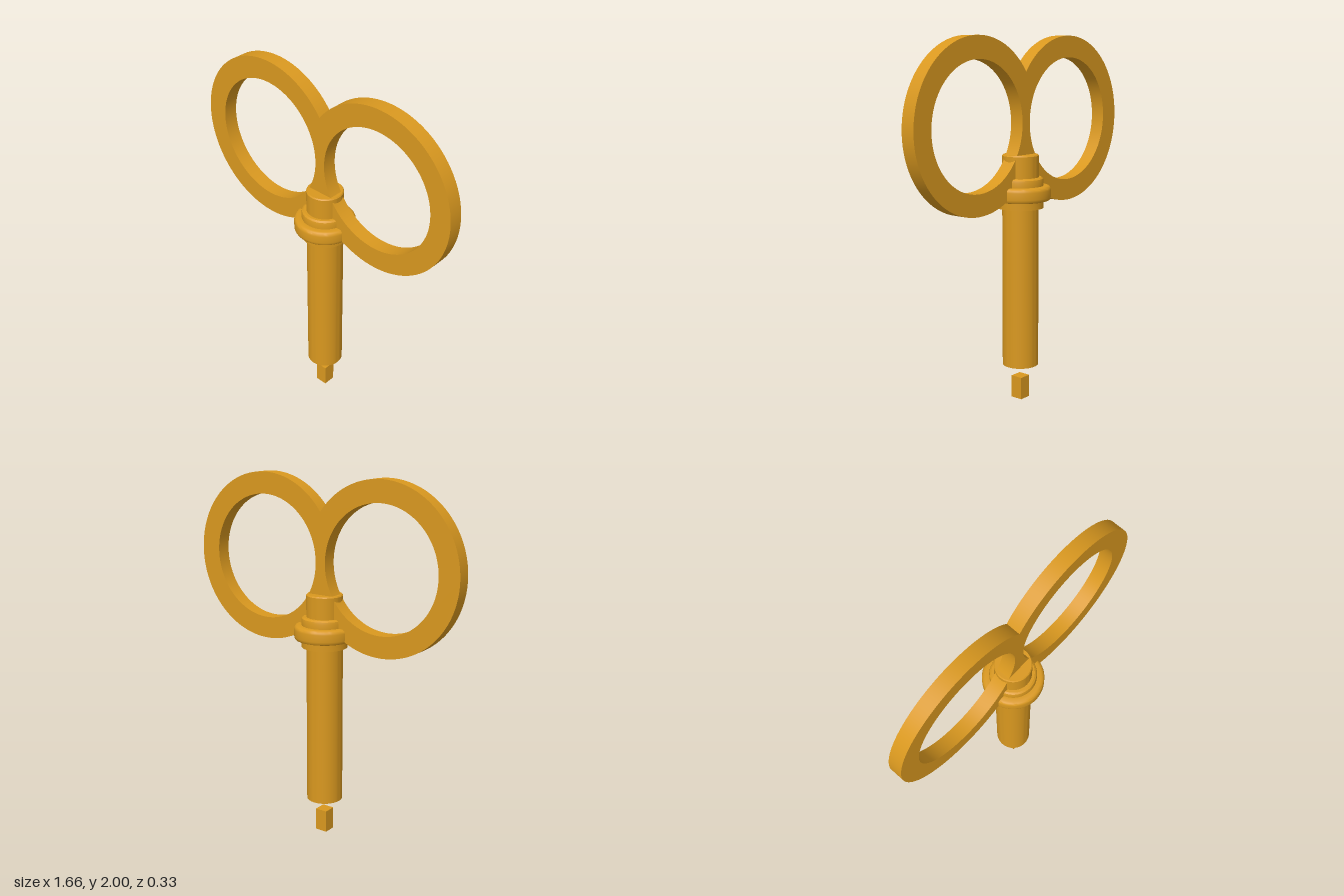
import * as THREE from 'three';
import { toCreasedNormals } from 'three/addons/utils/BufferGeometryUtils.js';

export function createModel() {
  const group = new THREE.Group();
  const brass = new THREE.MeshStandardMaterial({ color: 0xd9981f });
  brass.name = 'brass';

  const add = (name, geometry) => {
    const mesh = new THREE.Mesh(geometry, brass);
    mesh.name = name;
    group.add(mesh);
    return mesh;
  };
  const lathe = (points) => toCreasedNormals(
    new THREE.LatheGeometry(points.map(([r, y]) => new THREE.Vector2(r, y)), 64), 0.6);

  // Double-ring handle: one merged outline with two round holes
  const cx = 0.37, cy = 1.54, outer = 0.458, inner = 0.34, depth = 0.08;
  const a = Math.acos(cx / outer); // angle where the two rings meet
  const outline = new THREE.Shape();
  outline.absarc(cx, cy, outer, -Math.PI + a, Math.PI - a, false);
  outline.absarc(-cx, cy, outer, a, Math.PI * 2 - a, false);
  for (const side of [-1, 1]) {
    const hole = new THREE.Path();
    hole.absarc(side * cx, cy, inner, 0, Math.PI * 2, true);
    outline.holes.push(hole);
  }
  const rings = new THREE.ExtrudeGeometry(outline, { depth, bevelEnabled: false, curveSegments: 64 });
  rings.translate(0, 0, -depth / 2);
  add('handleRings', toCreasedNormals(rings, 0.6));

  // Main shaft, running up through the collar
  add('shaft', lathe([[0, 0.195], [0.099, 0.195], [0.099, 1.364], [0.094, 1.37], [0, 1.37]]));

  // Stepped collar with a rounded flange
  add('collar', lathe([
    [0.09, 1.08], [0.125, 1.08], [0.125, 1.122],
    [0.15, 1.122], [0.159, 1.125], [0.164, 1.133],
    [0.165, 1.142], [0.165, 1.18], [0.163, 1.19], [0.157, 1.198], [0.147, 1.202],
    [0.125, 1.202], [0.125, 1.228], [0.122, 1.24], [0.113, 1.247], [0.09, 1.248],
  ]));

  // Separate square bit below the shaft
  add('squareBit', new THREE.BoxGeometry(0.07, 0.125, 0.07)).position.y = 0.0625;

  return group;
}
